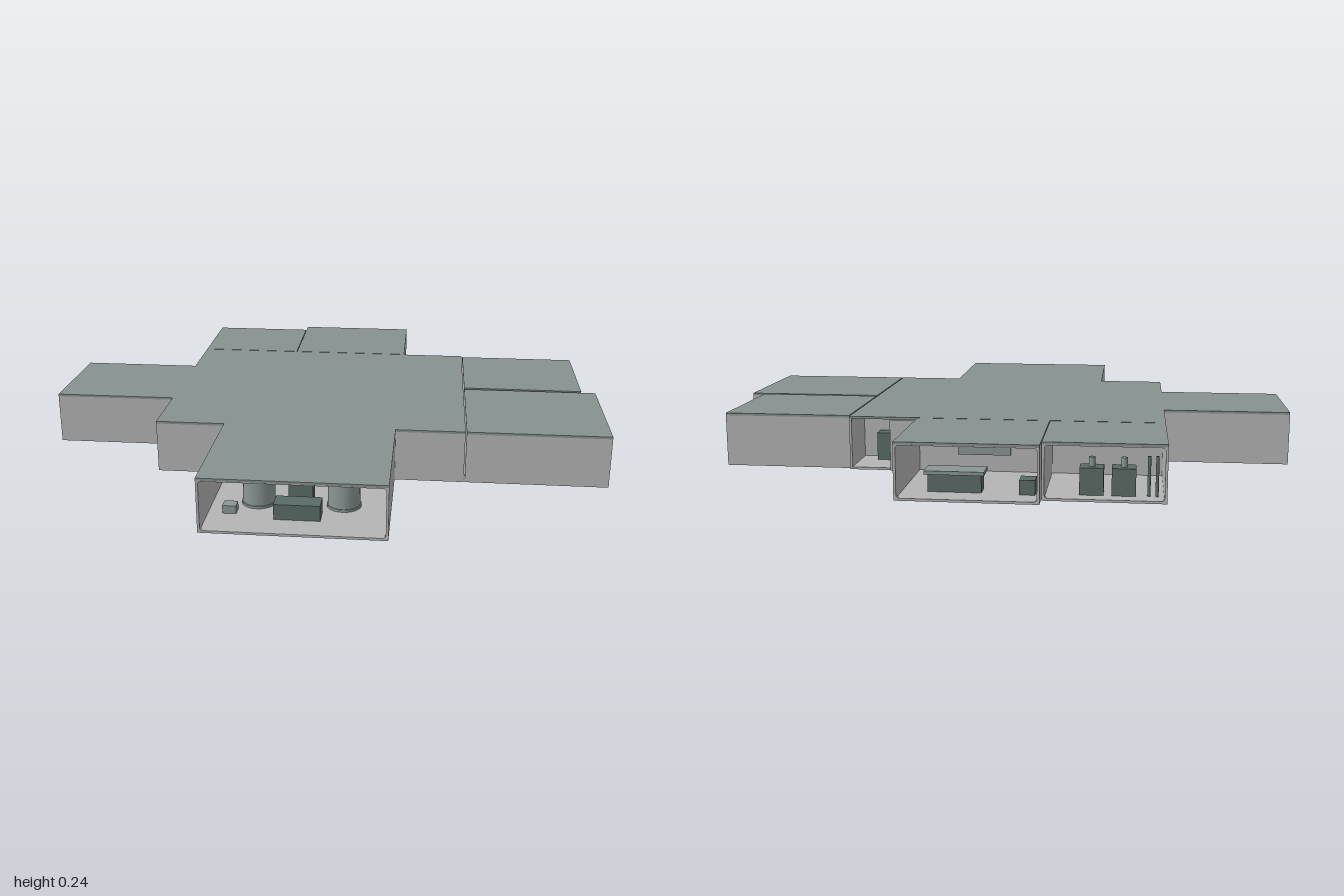
import * as THREE from 'three';

const mat = (name, color, extra = {}) => {
  const m = new THREE.MeshStandardMaterial({ color, ...extra });
  m.name = name;
  return m;
};

export function createModel() {
  const wall = mat('pale grey wall', 0xb4b4b4);
  const roof = mat('grey green roof', 0x87918f);
  const dark = mat('dark green equipment', 0x5a6c67);
  const tankMat = mat('pale green tank', 0x8a9795);
  const model = new THREE.Group();
  const Y0 = 0.055, Y1 = 0.232, TOP = 0.24, T = 0.008;
  const DECK = Y0 + T;

  // Box given by its limits on each axis
  const box = (name, m, x0, x1, y0, y1, z0, z1, parent = model) => {
    const mesh = new THREE.Mesh(new THREE.BoxGeometry(x1 - x0, y1 - y0, z1 - z0), m);
    mesh.position.set((x0 + x1) / 2, (y0 + y1) / 2, (z0 + z1) / 2);
    mesh.name = name;
    parent.add(mesh);
    return mesh;
  };
  // Upright cylinder standing at y0
  const cyl = (name, m, x, z, r, y0, y1, parent = model) => {
    const mesh = new THREE.Mesh(new THREE.CylinderGeometry(r, r, y1 - y0, 24), m);
    mesh.position.set(x, (y0 + y1) / 2, z);
    mesh.name = name;
    parent.add(mesh);
  };
  // Ribbed storage tank with a neck
  const tank = (x, z, r, top) => {
    const g = new THREE.Group();
    g.name = 'storageTank';
    cyl('tankBody', tankMat, x, z, r * 0.94, DECK, top, g);
    for (const y of [DECK, top - 0.008]) cyl('tankBand', tankMat, x, z, r, y, y + 0.008, g);
    cyl('tankNeck', dark, x, z, r * 0.55, top, top + 0.008, g);
    model.add(g);
  };

  // Rectangular frame with a rounded opening, closing the outer end of a room
  const frame = (width) => {
    const w = width / 2, y0 = Y0, y1 = Y1, r = 0.012;
    const s = new THREE.Shape([[-w, y0], [w, y0], [w, y1], [-w, y1]].map(p => new THREE.Vector2(...p)));
    const a = w - T, b0 = y0 + T, b1 = y1 - 0.003;
    const h = new THREE.Path();
    h.moveTo(-a + r, b0);
    h.lineTo(a - r, b0); h.quadraticCurveTo(a, b0, a, b0 + r);
    h.lineTo(a, b1 - r); h.quadraticCurveTo(a, b1, a - r, b1);
    h.lineTo(-a + r, b1); h.quadraticCurveTo(-a, b1, -a, b1 - r);
    h.lineTo(-a, b0 + r); h.quadraticCurveTo(-a, b0, -a + r, b0);
    s.holes.push(h);
    return new THREE.ExtrudeGeometry(s, { depth: 0.012, bevelEnabled: false, curveSegments: 5 });
  };

  // Room with one open end: floor, three walls, roof and end frame
  const room = (name, x0, x1, z0, z1, open) => {
    const g = new THREE.Group();
    g.name = name;
    box('floor', wall, x0, x1, Y0, DECK, z0, z1, g);
    box('roof', roof, x0, x1, Y1, TOP, z0, z1, g);
    if (open !== '-x') box('wall', wall, x0, x0 + T, DECK, Y1, z0, z1, g);
    if (open !== '+x') box('wall', wall, x1 - T, x1, DECK, Y1, z0, z1, g);
    if (open !== '-z') box('wall', wall, x0, x1, DECK, Y1, z0, z0 + T, g);
    if (open !== '+z') box('wall', wall, x0, x1, DECK, Y1, z1 - T, z1, g);
    const alongX = open[1] === 'z';
    const f = new THREE.Mesh(frame(alongX ? x1 - x0 : z1 - z0), wall);
    f.name = 'endFrame';
    const turn = { '+z': 0, '+x': Math.PI / 2, '-z': Math.PI, '-x': -Math.PI / 2 }[open];
    f.rotation.y = turn;
    const out = { '+z': z1, '+x': x1, '-z': -z0, '-x': -x0 }[open] - 0.0118;
    const cx = (x0 + x1) / 2, cz = (z0 + z1) / 2;
    f.position.set(alongX ? cx : Math.sin(turn) * out, 0, alongX ? Math.cos(turn) * out : cz);
    g.add(f);
    model.add(g);
  };

  // Central hall with a small open bay in its back corner
  box('hall', wall, -0.565, 0.365, Y0, Y1, -0.49, 0.395);
  box('hallSide', wall, 0.365, 0.508, Y0, Y1, -0.31, 0.395);
  box('bayFloor', wall, 0.365, 0.508, Y0, DECK, -0.49, -0.31);
  box('baySide', wall, 0.5, 0.508, DECK, Y1, -0.49, -0.31);
  box('bayDoor', wall, 0.272, 0.365, Y0, Y1, -0.498, -0.49);
  box('bayLocker', dark, 0.39, 0.44, DECK, 0.16, -0.37, -0.32);
  box('hallRoof', roof, -0.565, 0.508, Y1, TOP, -0.488, 0.395);
  box('underPlate', dark, -0.41, 0.34, Y0 - 0.003, Y0, -0.31, 0.24);

  // Ground runners
  for (const z of [0.13, -0.225]) box('groundRunner', dark, -0.2, 0.3, 0, 0.005, z - 0.003, z + 0.003);

  // Outer rooms
  room('frontRoom', -0.325, 0.27, 0.395, 0.87, '+z');
  room('leftFrontRoom', 0.512, 1.0, -0.06, 0.395, '+x');
  room('leftBackRoom', 0.512, 0.95, -0.475, -0.075, '+x');
  room('rightRoom', -1.0, -0.565, -0.25, 0.145, '-x');
  room('backLeftRoom', -0.18, 0.27, -0.88, -0.492, '-z');
  room('backRightRoom', -0.565, -0.182, -0.83, -0.492, '-z');

  // Front room: two tanks around a central console
  tank(-0.165, 0.64, 0.057, 0.217);
  tank(0.115, 0.64, 0.057, 0.217);
  box('consoleBase', dark, -0.1, 0.05, DECK, 0.115, 0.7, 0.77);
  box('consoleColumn', dark, -0.065, 0.015, DECK, 0.215, 0.6, 0.66);
  box('consoleCap', tankMat, -0.075, 0.025, 0.215, 0.225, 0.59, 0.67);
  box('crate', tankMat, -0.27, -0.225, DECK, 0.09, 0.7, 0.74);

  // Left front room: tank, cabinet, crate, pipe
  tank(0.8, 0.153, 0.058, 0.218);
  box('cabinet', dark, 0.86, 0.92, DECK, 0.165, 0.005, 0.053);
  box('crate', dark, 0.8, 0.86, DECK, 0.108, 0.29, 0.335);
  cyl('crateKnob', tankMat, 0.83, 0.31, 0.01, 0.108, 0.12);
  cyl('wallPipe', dark, 0.9, -0.008, 0.004, DECK, 0.2);
  box('doorSill', dark, 0.97, 0.985, DECK, 0.075, -0.05, 0.385);

  // Left back room: locker, boiler, benches
  box('locker', dark, 0.83, 0.89, DECK, 0.21, -0.305, -0.232);
  cyl('boiler', tankMat, 0.8, -0.385, 0.03, DECK, 0.175);
  cyl('boilerPipe', tankMat, 0.8, -0.385, 0.012, 0.175, 0.23);
  cyl('standPipe', dark, 0.85, -0.34, 0.003, 0.12, 0.21);
  for (const z of [-0.11, -0.135]) cyl('gasBottle', tankMat, 0.83, z, 0.01, DECK, 0.14);
  box('bench', tankMat, 0.8, 0.86, DECK, 0.11, -0.205, -0.17);
  box('wallBox', dark, 0.8, 0.84, 0.175, 0.195, -0.1, -0.085);
  box('doorSill', dark, 0.92, 0.935, DECK, 0.075, -0.465, -0.085);

  // Back left room: work table with a raised top and a small cabinet
  box('workTable', dark, 0.01, 0.18, DECK, 0.12, -0.79, -0.73);
  box('tableTop', tankMat, 0, 0.19, 0.12, 0.132, -0.8, -0.72);
  box('sideCabinet', dark, -0.16, -0.11, DECK, 0.11, -0.8, -0.74);
  box('wallPanel', tankMat, -0.05, 0.13, 0.12, 0.19, -0.506, -0.5);

  // Back right room: two lockers and pipes
  for (const x of [-0.37, -0.47]) {
    box('locker', dark, x, x + 0.075, DECK, 0.15, -0.78, -0.72);
    cyl('lockerPipe', tankMat, x + 0.037, -0.75, 0.01, 0.15, 0.18);
  }
  for (const x of [-0.51, -0.535]) cyl('standPipe', dark, x, -0.77, 0.005, DECK, 0.19);

  // Right room: table with stools
  box('tableTop', tankMat, -0.88, -0.8, 0.112, 0.12, -0.14, 0.04);
  for (const z of [-0.13, 0.03]) cyl('tableLeg', dark, -0.84, z, 0.005, DECK, 0.112);
  for (const z of [-0.17, -0.1, -0.03, 0.05]) {
    cyl('stoolLeg', dark, -0.91, z, 0.004, DECK, 0.092);
    cyl('stoolSeat', dark, -0.91, z, 0.014, 0.092, 0.1);
  }

  return model;
}
